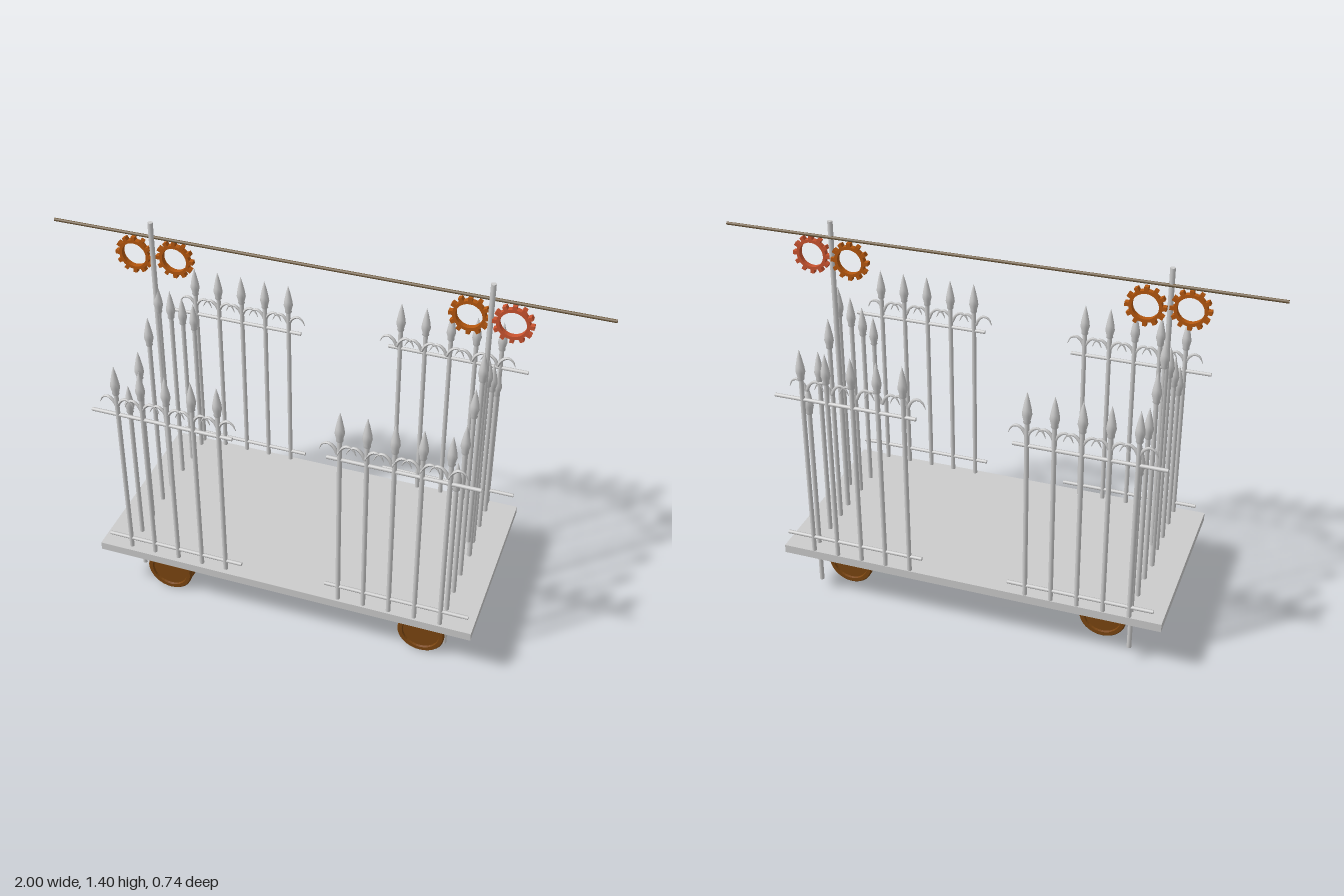
import * as THREE from 'three';

const grey = new THREE.MeshStandardMaterial({ color: 0xcccccc });
const wood = new THREE.MeshStandardMaterial({ color: 0x7a4510 });
const rust = new THREE.MeshStandardMaterial({ color: 0xb4570f });
const red = new THREE.MeshStandardMaterial({ color: 0xc9532f });
const rope = new THREE.MeshStandardMaterial({ color: 0x6b5638 });

function add(parent, name, geometry, material, x = 0, y = 0, z = 0) {
  const mesh = new THREE.Mesh(geometry, material);
  mesh.name = name;
  mesh.position.set(x, y, z);
  parent.add(mesh);
  return mesh;
}

const lathe = (points, sides) =>
  new THREE.LatheGeometry(points.map(([r, y]) => new THREE.Vector2(r, y)), sides);

// Picket: thin round bar with a collar and a spear head, tip at the origin
const picketGeometry = lathe([
  [0, -0.84], [0.0085, -0.84], [0.0085, -0.84], [0.0085, -0.12], [0.013, -0.115],
  [0.012, -0.107], [0.0175, -0.085], [0.015, -0.065], [0.008, -0.03], [0, 0],
], 10);

// Rail along x
function railGeometry(length, radius) {
  return new THREE.CylinderGeometry(radius, radius, length, 8).rotateZ(Math.PI / 2);
}

// Curled leaf arm: a tube that thins towards its drooping tip
function leafGeometry(side) {
  const curve = new THREE.CatmullRomCurve3([
    [0, -0.022], [0.013, 0.004], [0.033, 0.018], [0.053, 0.01], [0.065, -0.014],
  ].map(([x, y]) => new THREE.Vector3(side * x, y, 0)));
  const steps = 12, sides = 6;
  const geometry = new THREE.TubeGeometry(curve, steps, 0.0065, sides);
  const p = geometry.attributes.position;
  const v = new THREE.Vector3();
  for (let i = 0; i < p.count; i++) {
    const t = Math.floor(i / (sides + 1)) / steps;
    const c = curve.getPointAt(t);
    v.fromBufferAttribute(p, i).sub(c).multiplyScalar(1 - 0.85 * t * t).add(c);
    p.setXYZ(i, v.x, v.y, v.z);
  }
  geometry.computeVertexNormals();
  return geometry;
}
const leaves = [leafGeometry(-1), leafGeometry(1)];

// Toothed ring, extruded along z
function gearGeometry(depth) {
  const shape = new THREE.Shape();
  const teeth = 12;
  for (let i = 0; i < teeth; i++) {
    [[-0.5, 0.057], [-0.24, 0.057], [-0.19, 0.071], [0.19, 0.071], [0.24, 0.057]].forEach(([o, r], k) => {
      const a = ((i + o) / teeth) * Math.PI * 2;
      const method = i + k === 0 ? 'moveTo' : 'lineTo';
      shape[method](r * Math.cos(a), r * Math.sin(a));
    });
  }
  shape.closePath();
  const hole = new THREE.Path();
  hole.absarc(0, 0, 0.046, 0, Math.PI * 2, true);
  shape.holes.push(hole);
  return new THREE.ExtrudeGeometry(shape, { depth, bevelEnabled: false, curveSegments: 16 })
    .translate(0, 0, -depth / 2);
}

// Wheel: raised rims, grooved tread and recessed faces, axis along z
function wheelGeometry() {
  const half = [[0, 0.023], [0.068, 0.023], [0.07, 0.031], [0.084, 0.031], [0.088, 0.027],
    [0.088, 0.018], [0.081, 0.015], [0.081, 0.009], [0.087, 0.006]];
  const profile = [
    ...half.map(([r, y]) => [r, -y]),
    ...half.slice().reverse(),
  ];
  const geometry = lathe(profile, 32).toNonIndexed();
  geometry.computeVertexNormals();
  return geometry.rotateX(Math.PI / 2);
}

// Side fence panel of five pickets, two rails and a row of leaves
function sideFence(parent, name, o) {
  const fence = new THREE.Group();
  fence.name = name;
  for (let i = 0; i < 5; i++) {
    const x = o.x + i * 0.095;
    add(fence, 'picket', picketGeometry, grey, x, o.top, o.z);
    leaves.forEach((leaf) => add(fence, 'leaf', leaf, grey, x + o.leafShift, o.top - 0.15, o.leafZ));
  }
  add(fence, 'lowerRail', railGeometry(0.53, 0.007), grey, o.lowX, o.lowY, o.z);
  add(fence, 'upperRail', railGeometry(0.53, 0.007), grey, o.highX, o.highY, o.z);
  parent.add(fence);
}

// End fence: seven pickets rising to the middle
function endFence(parent, name, x, z, top) {
  const fence = new THREE.Group();
  fence.name = name;
  for (let i = -3; i <= 3; i++) {
    add(fence, 'picket', picketGeometry, grey, x, top - 0.084 * Math.abs(i), z + i * 0.095);
  }
  parent.add(fence);
}

export function createModel() {
  const model = new THREE.Group();
  model.name = 'fencedCart';

  add(model, 'platform', new THREE.BoxGeometry(1.435, 0.032, 0.725), grey, -0.015, 0.204, 0);

  // Wheels
  const wheel = wheelGeometry();
  for (const x of [-0.49, 0.505]) {
    for (const z of [0.263, -0.195]) add(model, 'wheel', wheel, wood, x, 0.091, z);
  }

  // Side fences
  const left = { x: 0.205, top: 1.055, lowX: 0.42, lowY: 0.28, highX: 0.425, highY: 0.86, leafShift: -0.006 };
  const right = { x: -0.615, top: 1.04, lowX: -0.435, lowY: 0.26, highX: -0.45, highY: 0.836, leafShift: 0 };
  sideFence(model, 'frontLeftFence', { ...left, z: 0.347, leafZ: 0.35 });
  sideFence(model, 'backLeftFence', { ...left, z: -0.353, leafZ: -0.328 });
  sideFence(model, 'frontRightFence', { ...right, z: 0.337, leafZ: 0.337 });
  sideFence(model, 'backRightFence', { ...right, z: -0.353, leafZ: -0.353 });

  // End fences
  endFence(model, 'leftEndFence', 0.59, -0.016, 1.143);
  endFence(model, 'rightEndFence', -0.615, -0.036, 1.152);

  // Poles
  const pole = new THREE.CylinderGeometry(0.0095, 0.0095, 1.27, 12);
  add(model, 'rightPole', pole, grey, -0.62, 0.765, -0.034);
  add(model, 'leftPole', pole, grey, 0.595, 0.765, -0.034);

  // Gears beside the poles
  const gear = gearGeometry(0.02);
  add(model, 'gear', gear, rust, -0.69, 1.262, -0.036);
  add(model, 'gear', gear, rust, -0.542, 1.26, -0.05);
  add(model, 'gear', gear, rust, 0.522, 1.262, -0.042);
  add(model, 'gear', gear, red, 0.672, 1.265, -0.034);

  // Overhead cable
  add(model, 'cable', railGeometry(2, 0.006), rope, 0, 1.34, -0.04);

  return model;
}
